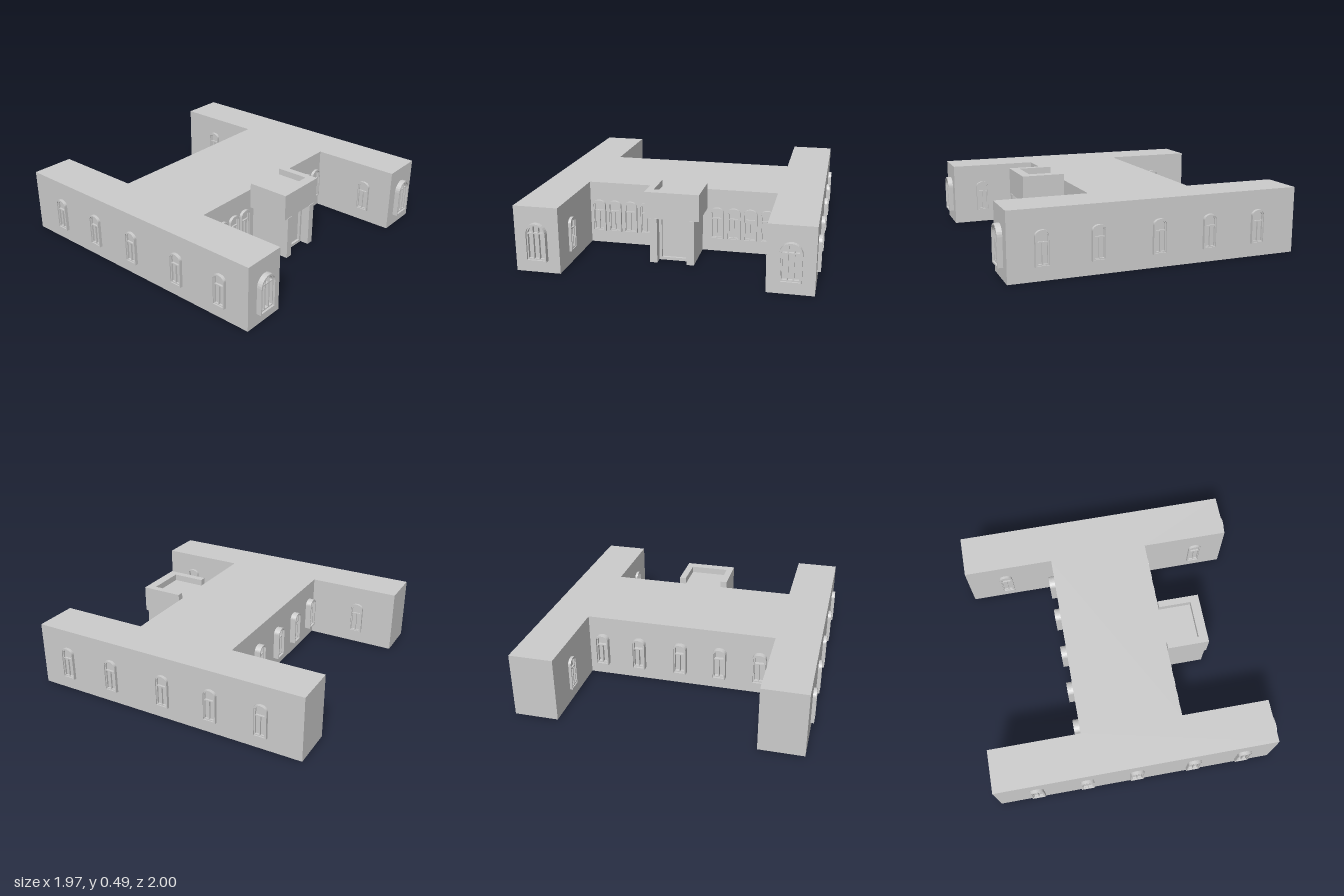
import * as THREE from 'three';

const material = new THREE.MeshStandardMaterial({ color: 0xcccccc });

function add(parent, name, geometry, x = 0, y = 0, z = 0) {
  const mesh = new THREE.Mesh(geometry, material);
  mesh.name = name;
  mesh.position.set(x, y, z);
  parent.add(mesh);
  return mesh;
}

// Box given by its minimum and maximum on each axis
function box(parent, name, x0, x1, y0, y1, z0, z1) {
  return add(parent, name, new THREE.BoxGeometry(x1 - x0, y1 - y0, z1 - z0),
    (x0 + x1) / 2, (y0 + y1) / 2, (z0 + z1) / 2);
}

const polygon = (Type, pts) => new Type(pts.map(([x, y]) => new THREE.Vector2(x, y)));
const extrude = (shape, depth) => new THREE.ExtrudeGeometry(shape, { depth, bevelEnabled: false });

// Outline with straight sides and a top that follows an elliptical arch
function archPoints(x0, x1, y0, half, spring, rise) {
  const pts = [[x0, y0], [x1, y0]];
  const n = 14;
  for (let i = 0; i <= n; i++) {
    const x = (x0 + x1) / 2 + ((x1 - x0) / 2) * Math.cos((Math.PI * i) / n);
    pts.push([x, spring + rise * Math.sqrt(Math.max(0, 1 - (x / half) ** 2))]);
  }
  return pts;
}

// Arched window: projecting surround plus a recessed lattice of lights
function makeWindow({ half, sill, spring, rise, border, bar, transom, lower, upper }, depth) {
  const window = new THREE.Group();
  const h = half - border;
  const inner = archPoints(-h, h, sill + border, h, spring, rise - border);

  const surround = polygon(THREE.Shape, archPoints(-half, half, sill, half, spring, rise));
  surround.holes.push(polygon(THREE.Path, inner));
  add(window, 'windowSurround', extrude(surround, depth));

  const lattice = polygon(THREE.Shape, inner);
  const g = h - bar; // half width of the glazed area
  const columns = (n, make) => {
    const w = (2 * g - (n - 1) * bar) / n;
    for (let i = 0; i < n; i++) {
      const x0 = -g + i * (w + bar);
      lattice.holes.push(polygon(THREE.Path, make(x0, x0 + w)));
    }
  };
  const bottom = sill + border + bar;
  columns(lower, (a, b) => [[a, bottom], [b, bottom], [b, transom - bar / 2], [a, transom - bar / 2]]);
  columns(upper, (a, b) => archPoints(a, b, transom + bar / 2, g, spring, rise - border - bar));
  add(window, 'windowLattice', extrude(lattice, depth * 0.6));
  return window;
}

const small = { half: 0.047, sill: 0.09, spring: 0.282, rise: 0.035, border: 0.009, bar: 0.007,
  transom: 0.24, lower: 2, upper: 1 };
const large = { half: 0.07, sill: 0.083, spring: 0.27, rise: 0.07, border: 0.01, bar: 0.008,
  transom: 0.272, lower: 3, upper: 3 };

export function createModel() {
  const model = new THREE.Group();
  model.name = 'building';
  const X = 0.963, W = 0.663, H = 0.445;
  const front = 0.963, back = -1, hallFront = 0.35, hallBack = -0.357;

  // H-shaped body: two long wings joined by the central hall
  const plan = polygon(THREE.Shape, [
    [-X, back], [-W, back], [-W, hallBack], [W, hallBack], [W, back], [X, back],
    [X, front], [W, front], [W, hallFront], [-W, hallFront], [-W, front], [-X, front],
  ].map(([x, z]) => [x, -z]));
  const body = extrude(plan, H);
  body.rotateX(-Math.PI / 2);
  add(model, 'body', body);

  // Entrance porch with overhanging top, parapet, pillars and door
  const porch = new THREE.Group();
  porch.name = 'porch';
  model.add(porch);
  const P = 0.183, porchFront = 0.645, wall = 0.57;
  box(porch, 'porchCore', -0.15, 0.15, 0, 0.307, hallFront - 0.02, wall);
  box(porch, 'porchTop', -P, P, 0.307, H, hallFront, porchFront);
  const parapet = extrude(polygon(THREE.Shape, [
    [-P, -hallFront], [-P, -porchFront], [P, -porchFront], [P, -hallFront],
    [0.136, -hallFront], [0.136, -0.58], [-0.136, -0.58], [-0.136, -hallFront],
  ]), 0.49 - H);
  parapet.rotateX(-Math.PI / 2);
  add(porch, 'parapet', parapet, 0, H, 0);
  for (const s of [-1, 1]) {
    box(porch, 'pillar', s * 0.125 - 0.025, s * 0.125 + 0.025, 0, 0.31, wall - 0.01, 0.649);
  }
  const doorFrame = polygon(THREE.Shape, [[-0.1, 0], [0.1, 0], [0.1, 0.307], [-0.1, 0.307]]);
  doorFrame.holes.push(polygon(THREE.Path, [[-0.082, 0.02], [0.082, 0.02], [0.082, 0.303], [-0.082, 0.303]]));
  add(porch, 'doorFrame', extrude(doorFrame, 0.018), 0, 0, wall);

  // Windows
  const place = (name, spec, depth, x, z, turn) => {
    const w = makeWindow(spec, depth);
    w.name = name;
    w.position.set(x, 0, z);
    w.rotation.y = turn;
    model.add(w);
  };
  for (const s of [-1, 1]) {
    place('wingEndWindow', large, 0.035, s * 0.812, front, 0);
    for (const z of [0.747, 0.39, -0.015, -0.367, -0.72]) {
      place('wingOuterWindow', small, 0.022, s * X, z, (s * Math.PI) / 2);
    }
    for (const z of [0.747, -0.72]) {
      place('wingInnerWindow', small, 0.019, s * W, z, (-s * Math.PI) / 2);
    }
    for (let i = 0; i < 4; i++) {
      place('hallFrontWindow', small, 0.02, s * (0.2525 + i * 0.115), hallFront, 0);
    }
  }
  for (const x of [-0.565, -0.285, -0.004, 0.295, 0.565]) {
    place('hallBackWindow', small, 0.042, x, hallBack, Math.PI);
  }
  return model;
}
